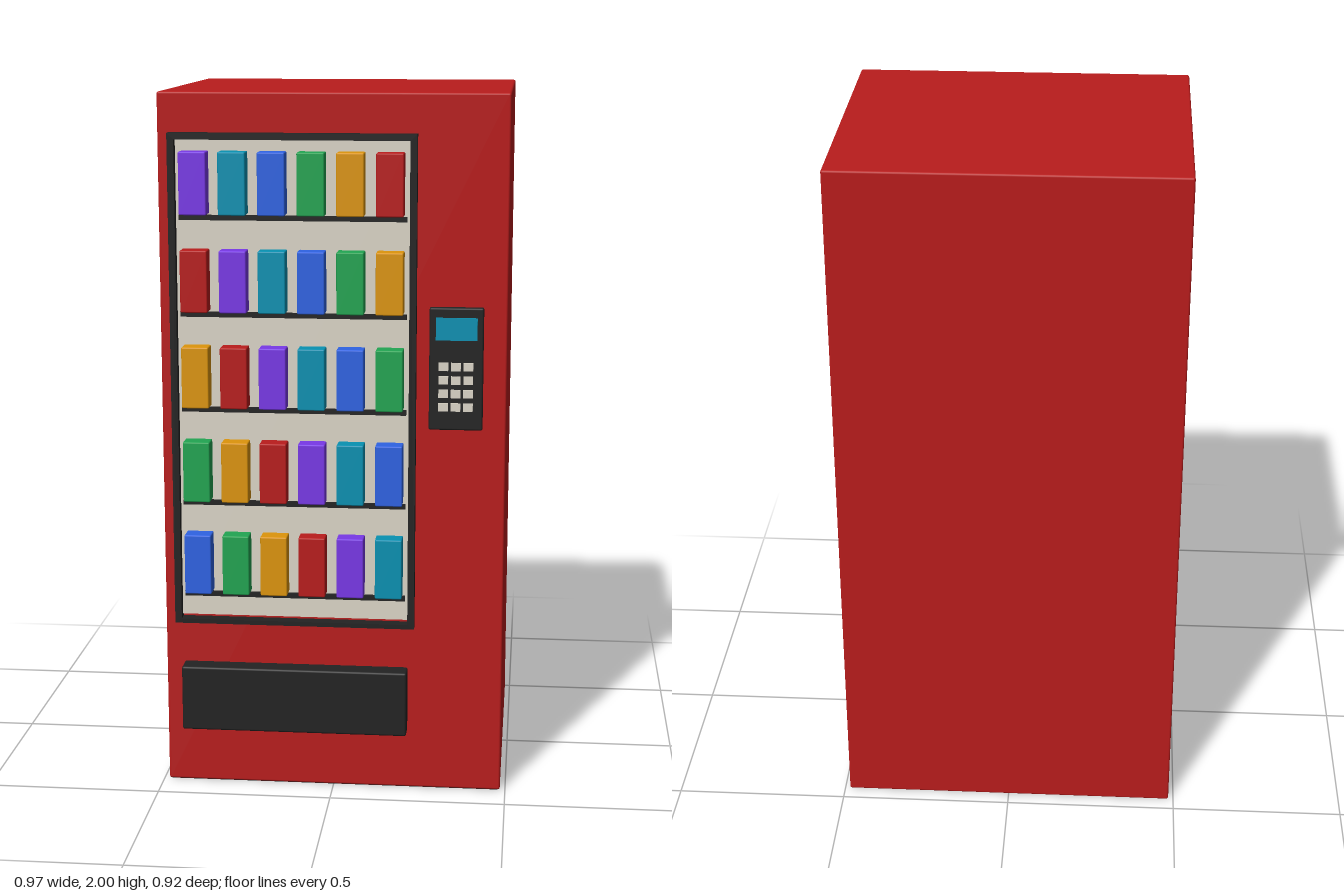
import * as THREE from 'three';
import { RoundedBoxGeometry } from 'three/addons/geometries/RoundedBoxGeometry.js';

const mat = (name, color) => {
  const m = new THREE.MeshStandardMaterial({ color });
  m.name = name;
  return m;
};

export function createModel() {
  const model = new THREE.Group();
  model.name = 'vendingMachine';

  const red = mat('red', 0xb91c1c);
  const black = mat('black', 0x232323);
  const cream = mat('cream', 0xdcd6c8);
  const teal = mat('teal', 0x0891b2);
  const purple = mat('purple', 0x7c3aed);
  const blue = mat('blue', 0x2f63e3);
  const green = mat('green', 0x22a552);
  const amber = mat('amber', 0xdd950c);

  // Box given by its min and max along each axis; r rounds the edges
  function box(name, material, [x0, x1], [y0, y1], [z0, z1], r = 0, parent = model) {
    const w = x1 - x0, h = y1 - y0, d = z1 - z0;
    const geo = r ? new RoundedBoxGeometry(w, h, d, 2, r) : new THREE.BoxGeometry(w, h, d);
    const mesh = new THREE.Mesh(geo, material);
    mesh.name = name;
    mesh.position.set((x0 + x1) / 2, (y0 + y1) / 2, (z0 + z1) / 2);
    parent.add(mesh);
    return mesh;
  }
  const group = (name) => {
    const g = new THREE.Group();
    g.name = name;
    model.add(g);
    return g;
  };

  // Cabinet and its dark underside
  box('cabinet', red, [-0.485, 0.485], [0.002, 2], [-0.46, 0.4], 0.006);
  box('basePlate', black, [-0.478, 0.478], [0, 0.008], [-0.453, 0.393]);

  // Window frame: a rectangular ring
  const outline = (S, x0, x1, y0, y1) =>
    new S([[x0, y0], [x1, y0], [x1, y1], [x0, y1]].map(([x, y]) => new THREE.Vector2(x, y)));
  const ring = outline(THREE.Shape, -0.453, 0.234, 0.492, 1.89);
  ring.holes.push(outline(THREE.Path, -0.434, 0.215, 0.505, 1.872));
  const frame = new THREE.Mesh(
    new THREE.ExtrudeGeometry(ring, { depth: 0.034, bevelEnabled: false }), black);
  frame.name = 'windowFrame';
  frame.position.z = 0.399;
  model.add(frame);

  // Back panel of the display, just short of the frame at the bottom
  box('displayPanel', cream, [-0.434, 0.215], [0.513, 1.872], [0.399, 0.41]);

  // Shelves, each with six packets whose colours shift by one per row
  const colours = [purple, teal, blue, green, amber, red];
  const shelves = group('shelves');
  const packets = group('packets');
  for (let row = 0; row < 5; row++) {
    const y = 1.665 - row * 0.27;
    box('shelf', black, [-0.425, 0.207], [y - 0.014, y], [0.405, 0.421], 0, shelves);
    for (let i = 0; i < 6; i++) {
      const x = -0.38 + i * 0.1084;
      box('packet', colours[(i - row + 6) % 6], [x - 0.038, x + 0.038],
        [y + 0.003, y + 0.176], [0.405, 0.461], 0.004, packets);
    }
  }

  // Delivery tray
  box('deliveryTray', black, [-0.433, 0.215], [0.177, 0.367], [0.39, 0.456], 0.006);

  // Payment panel with screen and keys
  const panel = group('paymentPanel');
  box('panelBody', black, [0.27, 0.42], [1.072, 1.416], [0.39, 0.42], 0.005, panel);
  box('screen', teal, [0.288, 0.403], [1.326, 1.389], [0.418, 0.425], 0, panel);
  for (let r = 0; r < 4; r++) {
    for (let c = 0; c < 3; c++) {
      const x = 0.31 + c * 0.0345, y = 1.252 - r * 0.038;
      box('key', cream, [x - 0.0135, x + 0.0135], [y - 0.0115, y + 0.0115],
        [0.418, 0.426], 0, panel);
    }
  }
  return model;
}
